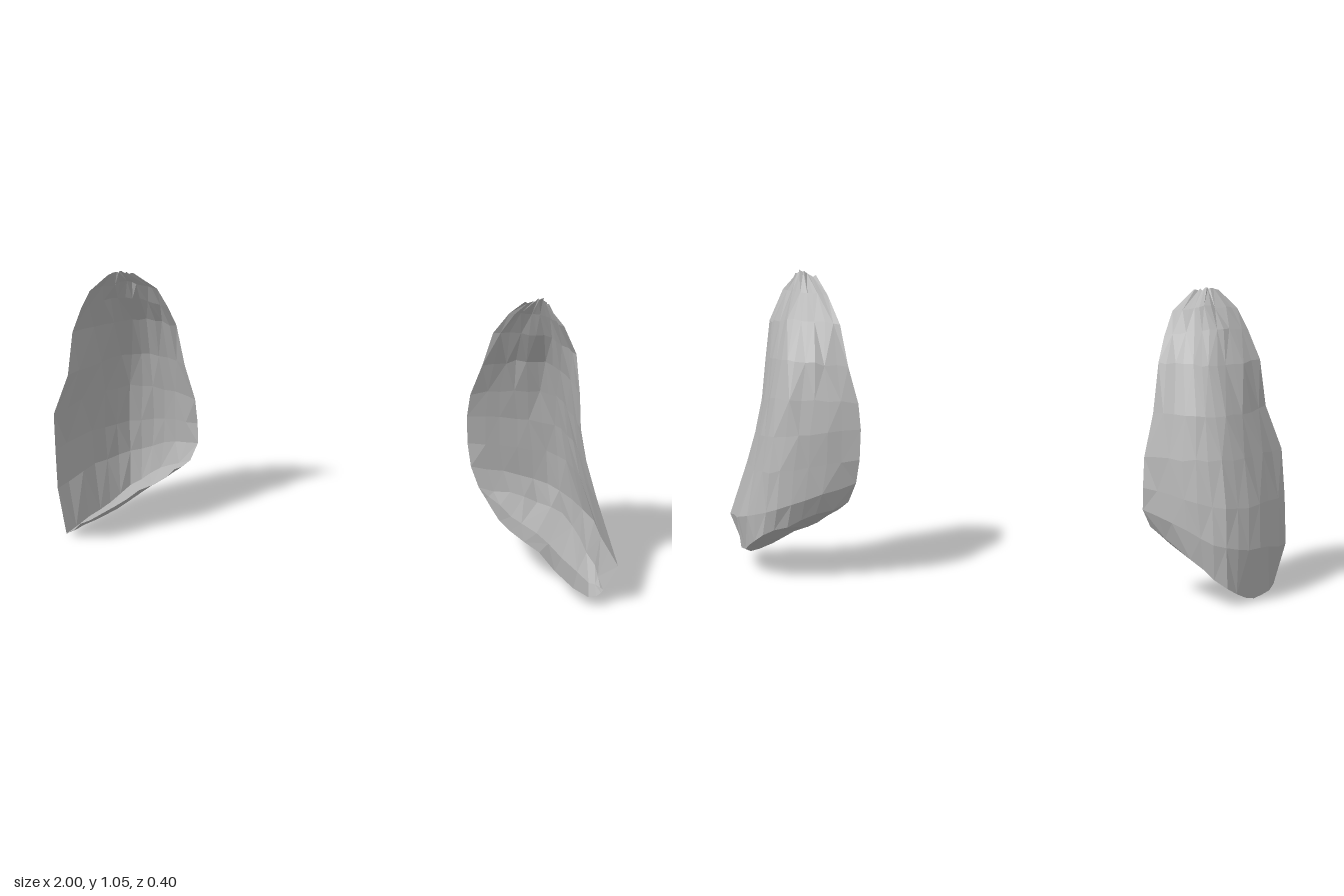
import * as THREE from 'three';

const SEG = 12;
const V = (p) => new THREE.Vector3(...p);

// Small repeatable wobble that depends only on position, so shared edges stay joined
function wobble(p, amount) {
  const h = (k) => {
    const s = Math.sin(p.x * 127.1 + p.y * 311.7 + p.z * 74.7 + k * 19.3) * 43758.5453;
    return (s - Math.floor(s) - 0.5) * 2 * amount;
  };
  return new THREE.Vector3(p.x + h(1), p.y + h(2), p.z + h(3));
}

// Curve from the outer rim, round the back corner, to the inner rim;
// the lowest one sags a little at its outer shoulder
function arc([outer, back, inner, push = 0.22], row) {
  const o = V(outer), b = V(back), i = V(inner);
  const bulge = b.clone().sub(o.clone().lerp(i, 0.5)).setY(0);
  const outerShoulder = o.clone().lerp(b, 0.5).addScaledVector(bulge, push);
  const innerShoulder = i.clone().lerp(b, 0.5).addScaledVector(bulge, 0.16);
  if (row === 0) outerShoulder.y -= 0.025;
  return new THREE.CatmullRomCurve3([o, outerShoulder, b, innerShoulder, i]).getPoints(SEG);
}

// Open surface through rows of points
function loft(rows, material, name) {
  const pos = [], index = [], n = SEG + 1;
  rows.forEach((row, r) => row.forEach((p, k) => {
    pos.push(...wobble(p, 0.005).toArray());
    if (r < rows.length - 1 && k < SEG) {
      const a = r * n + k, b = a + 1, c = a + n, d = c + 1;
      if ((r + k) % 2) index.push(a, b, d, a, d, c);
      else index.push(a, b, c, b, d, c);
    }
  }));
  const g = new THREE.BufferGeometry();
  g.setAttribute('position', new THREE.Float32BufferAttribute(pos, 3));
  g.setIndex(index);
  const flat = g.toNonIndexed();
  flat.computeVertexNormals();
  const mesh = new THREE.Mesh(flat, material);
  mesh.name = name;
  return mesh;
}

// One lobe: curved wall leaning forward to the apex, and a sloping base
function lobe(name, sections, frontEdge, material) {
  const group = new THREE.Group();
  group.name = name;
  const wall = sections.map(arc);
  const bottom = wall[0];
  const edge = new THREE.CatmullRomCurve3(
    [bottom[0], ...frontEdge.map(V), bottom[SEG]]).getPoints(SEG);
  const middle = bottom.map((p, k) => {
    const q = p.clone().lerp(edge[k], 0.55);
    q.y -= 0.03 * Math.sin((k / SEG) * Math.PI);
    return q;
  });
  group.add(loft(wall, material, name + 'Wall'), loft([edge, middle, bottom], material, name + 'Base'));
  return group;
}

export function createModel() {
  const model = new THREE.Group();
  model.name = 'pairedLobes';
  const grey = new THREE.MeshStandardMaterial({ color: 0xb4b4b4 });
  grey.name = 'grey';
  grey.flatShading = true;
  grey.side = THREE.DoubleSide;

  // Each section: outer rim, back, inner rim, and optionally how far the outer shoulder swells
  const right = [
    [[-0.96, 0.008, 0.12], [-0.82, 0.06, -0.19], [-0.56, 0.24, -0.1]],
    [[-0.995, 0.16, 0.085], [-0.82, 0.2, -0.2], [-0.53, 0.3, -0.12]],
    [[-0.99, 0.32, 0.1], [-0.81, 0.33, -0.18], [-0.53, 0.38, -0.12]],
    [[-0.97, 0.48, 0.13], [-0.79, 0.48, -0.155], [-0.535, 0.48, -0.11]],
    [[-0.91, 0.62, 0.12], [-0.77, 0.62, -0.125], [-0.555, 0.62, -0.08]],
    [[-0.89, 0.78, 0.11], [-0.74, 0.78, -0.06], [-0.565, 0.78, -0.03]],
    [[-0.85, 0.88, 0.125], [-0.73, 0.89, 0.015], [-0.58, 0.87, 0.015]],
    [[-0.81, 0.95, 0.14], [-0.71, 0.96, 0.055], [-0.6, 0.95, 0.055]],
    [[-0.75, 1.01, 0.14], [-0.71, 1.015, 0.105], [-0.67, 1.01, 0.1]],
  ];
  const left = [
    [[0.96, 0.06, 0.16], [0.77, 0.16, -0.155], [0.49, 0.27, -0.07], 0.25],
    [[0.998, 0.155, 0.17], [0.76, 0.24, -0.17], [0.46, 0.34, -0.085], 0.25],
    [[0.91, 0.36, 0.1], [0.745, 0.38, -0.155], [0.443, 0.43, -0.09], 0.12],
    [[0.865, 0.48, 0.065], [0.73, 0.5, -0.14], [0.443, 0.53, -0.085], 0.1],
    [[0.845, 0.6, 0.08], [0.71, 0.63, -0.115], [0.455, 0.62, -0.07], 0.12],
    [[0.84, 0.74, 0.11], [0.7, 0.76, -0.07], [0.49, 0.74, -0.04], 0.15],
    [[0.82, 0.87, 0.11], [0.7, 0.89, 0.015], [0.53, 0.88, 0.005]],
    [[0.775, 0.98, 0.145], [0.69, 0.98, 0.065], [0.59, 0.97, 0.06]],
    [[0.73, 1.03, 0.135], [0.7, 1.05, 0.105], [0.65, 1.03, 0.105]],
  ];
  model.add(
    lobe('rightLobe', right, [[-0.85, 0.09, 0.155], [-0.74, 0.15, 0.08], [-0.62, 0.21, -0.01]], grey),
    lobe('leftLobe', left, [[0.915, 0.05, 0.2], [0.73, 0.15, 0.13], [0.58, 0.21, 0.04]], grey));
  return model;
}
